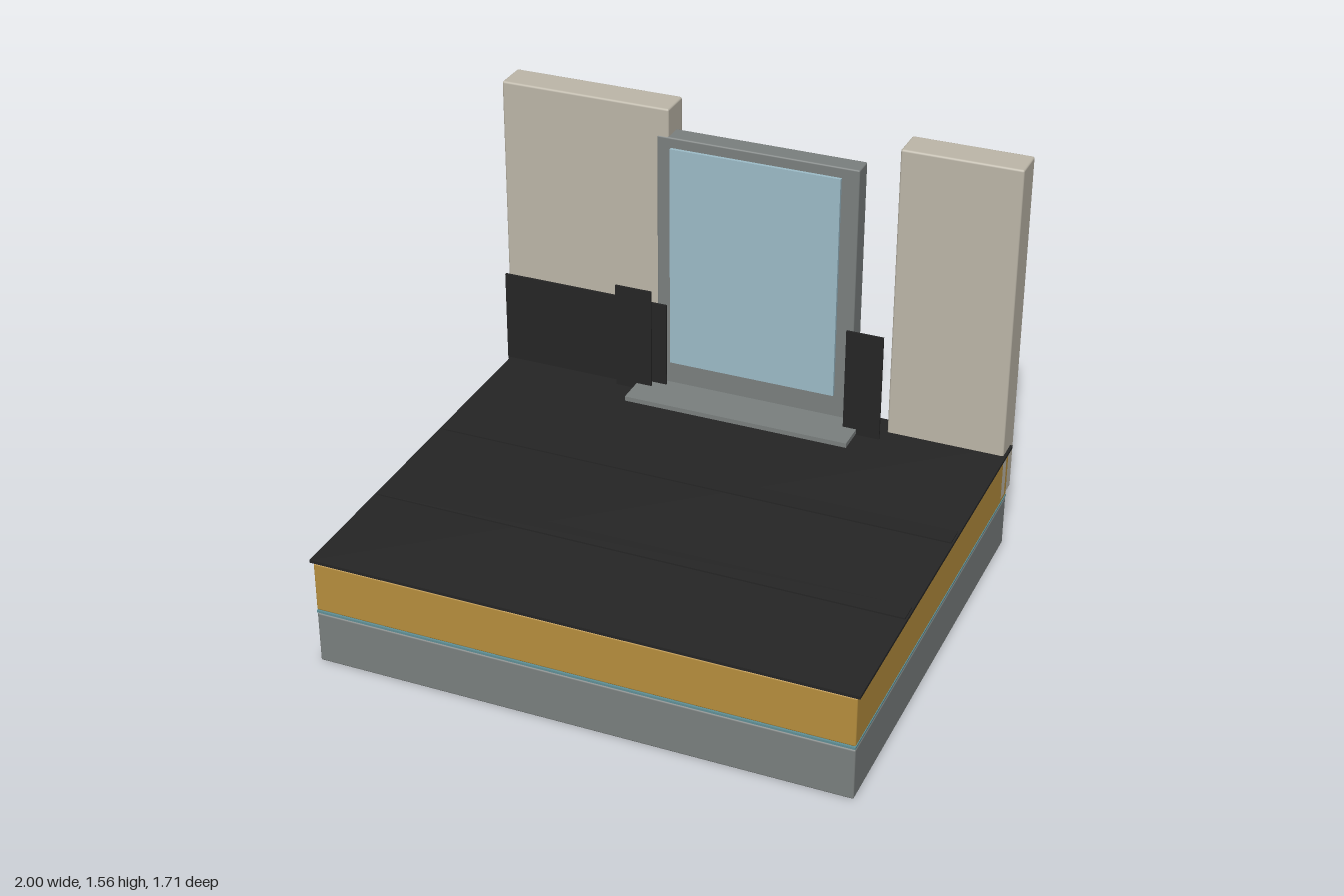
import * as THREE from 'three';
import { RoundedBoxGeometry } from 'three/addons/geometries/RoundedBoxGeometry.js';

const mat = (name, color) => {
  const m = new THREE.MeshStandardMaterial({ color });
  m.name = name;
  return m;
};

export function createModel() {
  const group = new THREE.Group();
  group.name = 'roofTerraceSection';

  const concrete = mat('concrete grey', 0x7a7f7e);
  const masonry = mat('masonry beige', 0xbcb6a8);
  const insulationTan = mat('insulation ochre', 0xb68e3d);
  const bitumen = mat('bitumen black', 0x252525);
  const glassBlue = mat('glass blue', 0x9cbbc7);
  const barrierTeal = mat('barrier teal', 0x5f8f96);

  // Box given by its extents, with an optional small softened edge
  const block = (name, material, [x0, x1], [y0, y1], [z0, z1], bevel = 0) => {
    const size = [x1 - x0, y1 - y0, z1 - z0];
    const geometry = bevel
      ? new RoundedBoxGeometry(...size, 2, bevel)
      : new THREE.BoxGeometry(...size);
    const mesh = new THREE.Mesh(geometry, material);
    mesh.name = name;
    mesh.position.set((x0 + x1) / 2, (y0 + y1) / 2, (z0 + z1) / 2);
    group.add(mesh);
  };

  // Layered floor, from the slab upwards
  const floorX = [-0.98, 0.987];
  const floorZ = [-0.803, 0.85];
  block('slab', concrete, floorX, [0, 0.198], floorZ, 0.006);
  block('vapourBarrier', barrierTeal, floorX, [0.202, 0.21], [-0.805, 0.852]);
  block('insulation', insulationTan, floorX, [0.212, 0.402], floorZ, 0.006);
  block('waterproofSheet', bitumen, [-0.99, 0.997], [0.406, 0.417], [-0.813, 0.855]);

  // Overlapping seams of the sheet
  for (const z of [0.36, -0.135]) {
    block('sheetSeam', bitumen, [-0.985, 0.99], [0.417, 0.422], [z - 0.037, z + 0.037]);
  }

  // Wall pieces on both sides of the door
  const wallY = [0.22, 1.557];
  const wallZ = [-0.855, -0.725];
  block('rightWall', masonry, [-1, -0.335], wallY, wallZ, 0.008);
  block('leftWall', masonry, [0.542, 0.987], wallY, wallZ, 0.008);

  // Door with its pane and threshold
  block('doorFrame', concrete, [-0.38, 0.397], [0.417, 1.45], [-0.805, -0.723], 0.006);
  block('doorPane', glassBlue, [-0.324, 0.331], [0.53, 1.41], [-0.724, -0.71]);
  block('threshold', concrete, [-0.44, 0.443], [0.422, 0.44], [-0.55, -0.725]
    .sort((a, b) => a - b));

  // Upturned sheet against the wall, and flashings beside the door
  block('wallUpstand', bitumen, [-1, -0.332], [0.41, 0.777], [-0.703, -0.694]);
  block('rightFlashing', bitumen, [-0.525, -0.38], [0.417, 0.84], [-0.669, -0.661]);
  block('leftFlashing', bitumen, [0.39, 0.532], [0.417, 0.84], [-0.669, -0.661]);

  return group;
}
